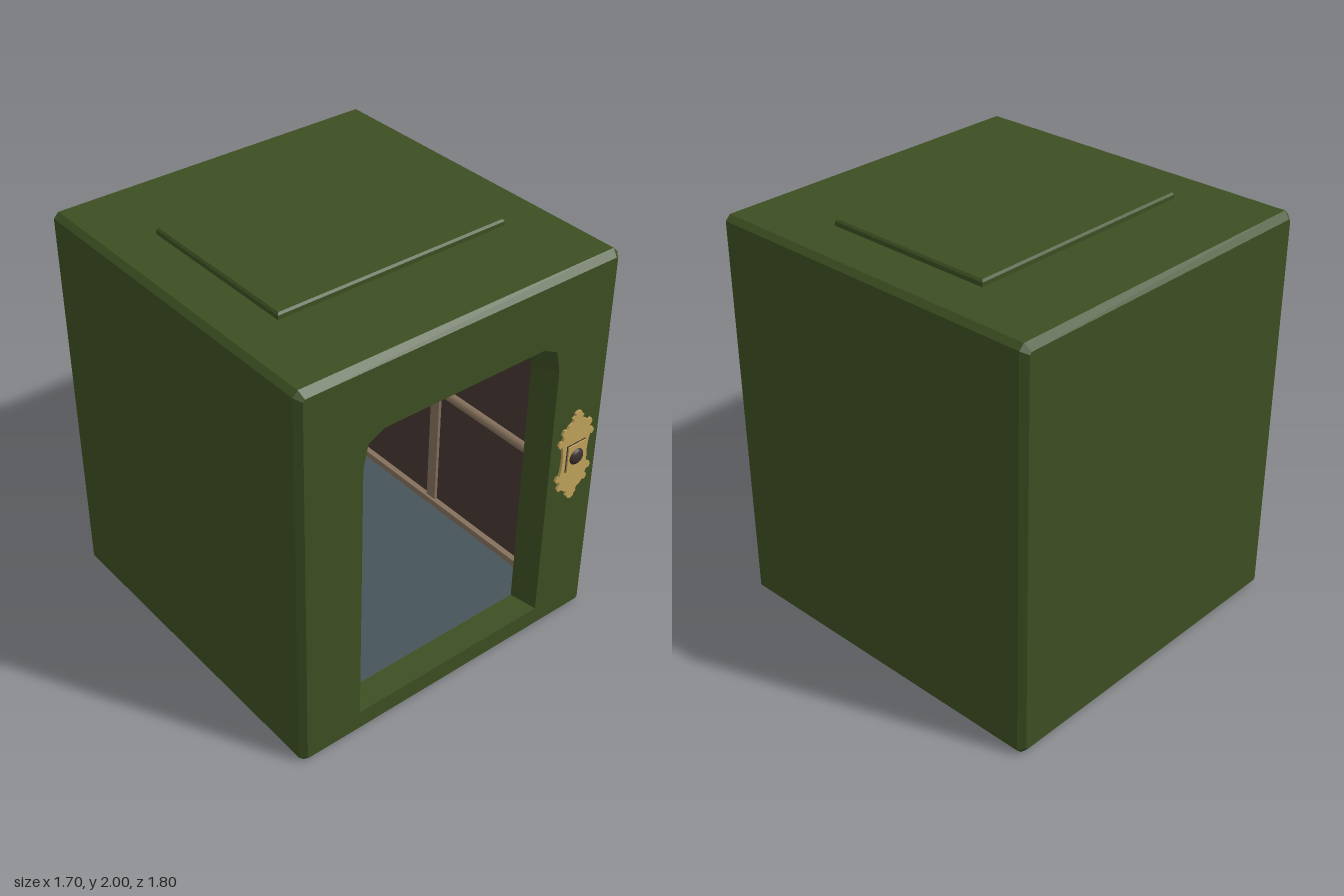
import * as THREE from 'three';
import { toCreasedNormals } from 'three/addons/utils/BufferGeometryUtils.js';

const colours = {
  green: 0x3d4f22, tan: 0x84705b, darkBrown: 0x463731, floorSlate: 0x46555a,
  dialGrey: 0xb0b0b0, brass: 0xc0a35c, leverBrown: 0x3a302b,
};

// Flat-sided skin between loops of [x, y, z] points
function loft(loops) {
  const pos = [];
  for (let k = 0; k < loops.length - 1; k++) {
    const a = loops[k], b = loops[k + 1], n = a.length;
    for (let i = 0; i < n; i++) {
      const j = (i + 1) % n;
      pos.push(...a[i], ...a[j], ...b[j], ...a[i], ...b[j], ...b[i]);
    }
  }
  const g = new THREE.BufferGeometry();
  g.setAttribute('position', new THREE.Float32BufferAttribute(pos, 3));
  g.computeVertexNormals();
  return g;
}

const toShape = pts => new THREE.Shape(pts.map(p => new THREE.Vector2(p[0], p[1])));
const atZ = (pts, z) => pts.map(p => [p[0], p[1], z]);

// Rectangle with cut corners, counter-clockwise
function octagon(w, y0, y1, c) {
  return [[w - c, y0], [w, y0 + c], [w, y1 - c], [w - c, y1],
    [c - w, y1], [-w, y1 - c], [-w, y0 + c], [c - w, y0]];
}

// Doorway with clipped upper corners, counter-clockwise
function doorway(w, top) {
  const right = [[w, 0.125], [w, top - 0.15], [w - 0.025, top - 0.04], [w - 0.105, top]];
  return [...right, ...right.map(([x, y]) => [-x, y]).reverse()];
}

export function createModel() {
  const model = new THREE.Group();
  const mats = {};
  for (const [name, color] of Object.entries(colours)) {
    mats[name] = new THREE.MeshStandardMaterial({ color });
    mats[name].name = name;
  }
  const add = (name, geo, mat, x = 0, y = 0, z = 0, parent = model) => {
    const m = new THREE.Mesh(geo, mats[mat]);
    m.name = name;
    m.position.set(x, y, z);
    parent.add(m);
    return m;
  };
  const box = (name, mat, w, h, d, x, y, z) => add(name, new THREE.BoxGeometry(w, h, d), mat, x, y, z);

  // Outer shell with chamfered edges
  const full = octagon(0.85, 0, 1.97, 0.025), inset = octagon(0.825, 0.03, 1.94, 0.01);
  add('outerShell', loft([atZ(inset, -0.9), atZ(full, -0.87), atZ(full, 0.83), atZ(inset, 0.86)]), 'green');
  add('backFace', new THREE.ShapeGeometry(toShape(inset)).rotateY(Math.PI), 'green', 0, 0, -0.9);
  const outerDoor = doorway(0.535, 1.635), innerDoor = doorway(0.51, 1.6);
  const front = toShape(inset);
  front.holes.push(toShape(outerDoor));
  add('frontFace', new THREE.ShapeGeometry(front), 'green', 0, 0, 0.86);
  add('doorJamb', loft([atZ(outerDoor, 0.86), atZ(innerDoor, 0.72)]), 'green');

  // Raised roof hatch
  const hatch = (w, d, y) => [[-w, y, d - 0.0175], [w, y, d - 0.0175], [w, y, -d - 0.0175], [-w, y, -d - 0.0175]];
  add('roofHatch', loft([hatch(0.6, 0.428, 1.96), hatch(0.6, 0.428, 1.99), hatch(0.592, 0.42, 2)]), 'green');
  add('roofHatchTop', new THREE.PlaneGeometry(1.184, 0.84).rotateX(-Math.PI / 2), 'green', 0, 2, -0.0175);

  // Cabin lining
  const W = 0.69, back = -0.79, front0 = 0.72, depth = front0 - back, midZ = (front0 + back) / 2;
  box('floor', 'floorSlate', 2 * W, 0.04, depth, 0, 0.103, midZ);
  box('ceiling', 'tan', 2 * W, 0.04, depth, 0, 1.82, midZ);
  box('backWall', 'darkBrown', 2 * W, 1.75, 0.04, 0, 0.965, back - 0.02);
  box('upperBackPanel', 'tan', 2 * W, 0.96, 0.008, 0, 1.325, back + 0.004);
  const liner = toShape([[-W, 0.1], [W, 0.1], [W, 1.82], [-W, 1.82]]);
  liner.holes.push(toShape(innerDoor));
  const linerGeo = new THREE.ShapeGeometry(liner).rotateY(Math.PI);
  add('frontLining', linerGeo, 'darkBrown', 0, 0, front0);

  // Side walls, rails, skirting and battens
  const railGeo = len => new THREE.CylinderGeometry(0.024, 0.024, len, 12);
  for (const s of [-1, 1]) {
    box('sideWall', 'darkBrown', 0.04, 1.75, depth, s * (W + 0.02), 0.965, midZ);
    add('sideRail', railGeo(depth).rotateX(Math.PI / 2), 'tan', s * (W - 0.02), 0.848, midZ);
    box('sideSkirting', 'tan', 0.03, 0.04, depth, s * (W - 0.015), 0.138, midZ);
    for (const z of [back + 0.03, -0.05, front0 - 0.03])
      box('wallBatten', 'tan', 0.016, 1.7, 0.06, s * (W - 0.008), 0.97, z);
  }
  add('backRail', railGeo(2 * W).rotateZ(Math.PI / 2), 'tan', 0, 0.848, back + 0.02);
  box('backSkirting', 'tan', 2 * W, 0.035, 0.03, 0, 0.138, back + 0.015);

  // Control console with a swept-back foot
  const side = new THREE.Shape();
  side.moveTo(0, 0.125);
  side.lineTo(0.08, 0.125);
  side.bezierCurveTo(0.13, 0.22, 0.19, 0.3, 0.19, 0.43);
  side.lineTo(0.19, 0.66);
  side.quadraticCurveTo(0.19, 0.725, 0.13, 0.725);
  side.lineTo(0, 0.725);
  const consoleGeo = new THREE.ExtrudeGeometry(side, {
    depth: 0.25, bevelSize: 0.015, bevelThickness: 0.015, bevelSegments: 3, curveSegments: 10,
  }).translate(0, 0, -0.125).rotateY(-Math.PI / 2);
  add('console', toCreasedNormals(consoleGeo, 0.7), 'tan', 0, 0, back);

  // Lever slot plate and lever
  const face = back + 0.205;
  box('leverSlotFrame', 'leverBrown', 0.085, 0.22, 0.008, 0, 0.55, face + 0.004);
  box('leverSlot', 'tan', 0.064, 0.2, 0.004, 0, 0.55, face + 0.009);
  box('leverSlotCore', 'darkBrown', 0.045, 0.19, 0.004, 0, 0.55, face + 0.012);
  const leverProfile = [[0, 0], [0.02, 0.015], [0.029, 0.06], [0.026, 0.11], [0.014, 0.16], [0.012, 0.22],
    [0.016, 0.28], [0.031, 0.36], [0.042, 0.43], [0.039, 0.47], [0.022, 0.505], [0, 0.515]];
  const leverCurve = new THREE.SplineCurve(leverProfile.map(p => new THREE.Vector2(...p)));
  const leverPts = leverCurve.getPoints(30).map(p => new THREE.Vector2(Math.max(0, p.x), p.y));
  const lever = add('lever', new THREE.LatheGeometry(leverPts, 20), 'leverBrown', 0, 0.49, face + 0.01);
  lever.rotation.x = 0.2;

  // Half-round floor dial and needle
  const dial = new THREE.CircleGeometry(0.27, 10, 0, Math.PI).scale(1, 0.91, 1);
  add('dial', dial, 'dialGrey', 0, 1.25, back + 0.011);
  const needle = [[0, 0], [0.018, 0.008], [0.025, 0.03], [0.018, 0.055], [0.008, 0.08], [0.004, 0.19], [0, 0.19]];
  add('dialNeedle', new THREE.LatheGeometry(needle.map(p => new THREE.Vector2(...p)), 12).scale(1, 1, 0.5),
    'leverBrown', 0, 1.253, back + 0.022);

  // Ornate call plate with its button
  const call = new THREE.Group();
  call.name = 'callPlate';
  call.position.set(0.68, 0.978, 0.86);
  model.add(call);
  const q = [[0.076, 0], [0.08, 0.06], [0.088, 0.085], [0.1, 0.078], [0.11, 0.098], [0.1, 0.114],
    [0.086, 0.112], [0.079, 0.13], [0.093, 0.15], [0.083, 0.172], [0.064, 0.166], [0.052, 0.182],
    [0.032, 0.192], [0.026, 0.204], [0.034, 0.214], [0.02, 0.222], [0.018, 0.236], [0, 0.244]];
  const upper = [...q, ...q.slice(0, -1).reverse().map(([x, y]) => [-x, y])];
  const lower = upper.slice(1, -1).reverse().map(([x, y]) => [x, -y]);
  const plate = toShape([...upper, ...lower]);
  add('ornatePlate', new THREE.ExtrudeGeometry(plate, { depth: 0.012, bevelEnabled: false }), 'brass', 0, 0, 0, call);
  add('buttonBorder', new THREE.BoxGeometry(0.112, 0.146, 0.004), 'leverBrown', 0, 0, 0.0125, call);
  add('buttonPanel', new THREE.BoxGeometry(0.104, 0.138, 0.012), 'brass', 0, 0, 0.015, call);
  const button = new THREE.SphereGeometry(0.042, 20, 10, 0, Math.PI * 2, 0, Math.PI / 2);
  add('button', button.rotateX(Math.PI / 2).scale(1, 1, 0.52), 'leverBrown', 0, 0, 0.018, call);

  return model;
}
